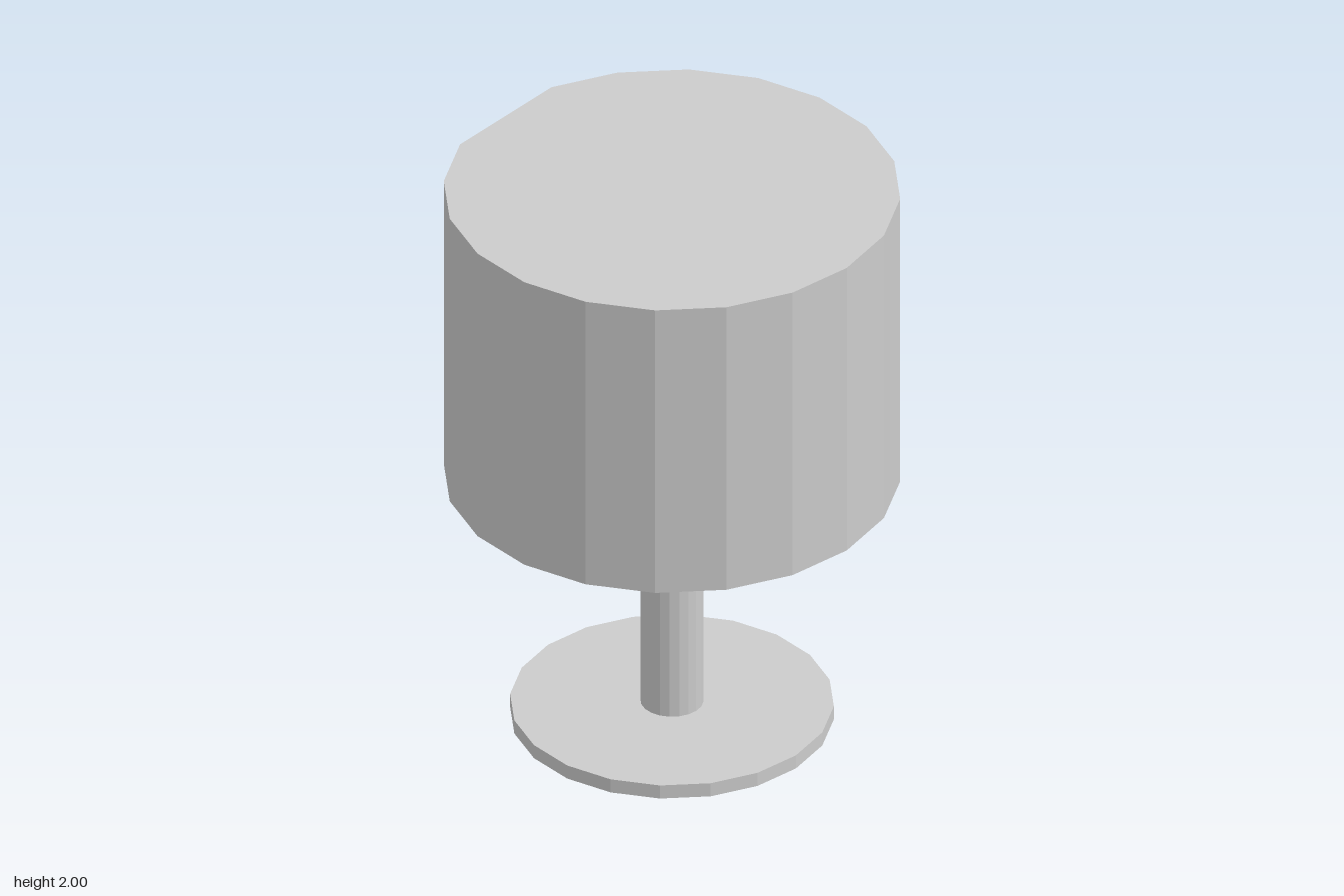
import * as THREE from 'three';

const SIDES = 20;
const material = new THREE.MeshStandardMaterial({ color: 0xcccccc, flatShading: true });

// Upright faceted cylinder between two heights
function post(name, radius, y0, y1) {
  const geometry = new THREE.CylinderGeometry(radius, radius, y1 - y0, SIDES);
  geometry.translate(0, (y0 + y1) / 2, 0);
  const mesh = new THREE.Mesh(geometry, material);
  mesh.name = name;
  return mesh;
}

// Drum with a flat top, a conical hollow underneath and one corner cut off
function shade(radius, y0, y1, apexY, missingCorner) {
  const ring = [];
  for (let i = 0; i < SIDES; i++) {
    if (i === missingCorner) continue;
    const a = (i / SIDES) * Math.PI * 2;
    ring.push([radius * Math.cos(a), radius * Math.sin(a)]);
  }
  const positions = [];
  const tri = (...corners) => corners.forEach((c) => positions.push(...c));
  const top = [0, y1, 0];
  const apex = [0, apexY, 0];
  ring.forEach(([x, z], i) => {
    const [nx, nz] = ring[(i + 1) % ring.length];
    const a = [x, y0, z], b = [x, y1, z], c = [nx, y1, nz], d = [nx, y0, nz];
    tri(a, b, c); // wall
    tri(a, c, d);
    tri(top, c, b); // flat top
    tri(apex, a, d); // hollow underside
  });
  const geometry = new THREE.BufferGeometry();
  geometry.setAttribute('position', new THREE.Float32BufferAttribute(positions, 3));
  geometry.computeVertexNormals();
  const mesh = new THREE.Mesh(geometry, material);
  mesh.name = 'shade';
  return mesh;
}

export function createModel() {
  const group = new THREE.Group();
  group.name = 'tableLamp';
  group.add(post('base', 0.527, 0, 0.05));
  group.add(post('stem', 0.103, 0.05, 1.4));
  group.add(shade(0.743, 0.92, 2, 1.46, 12));
  return group;
}
